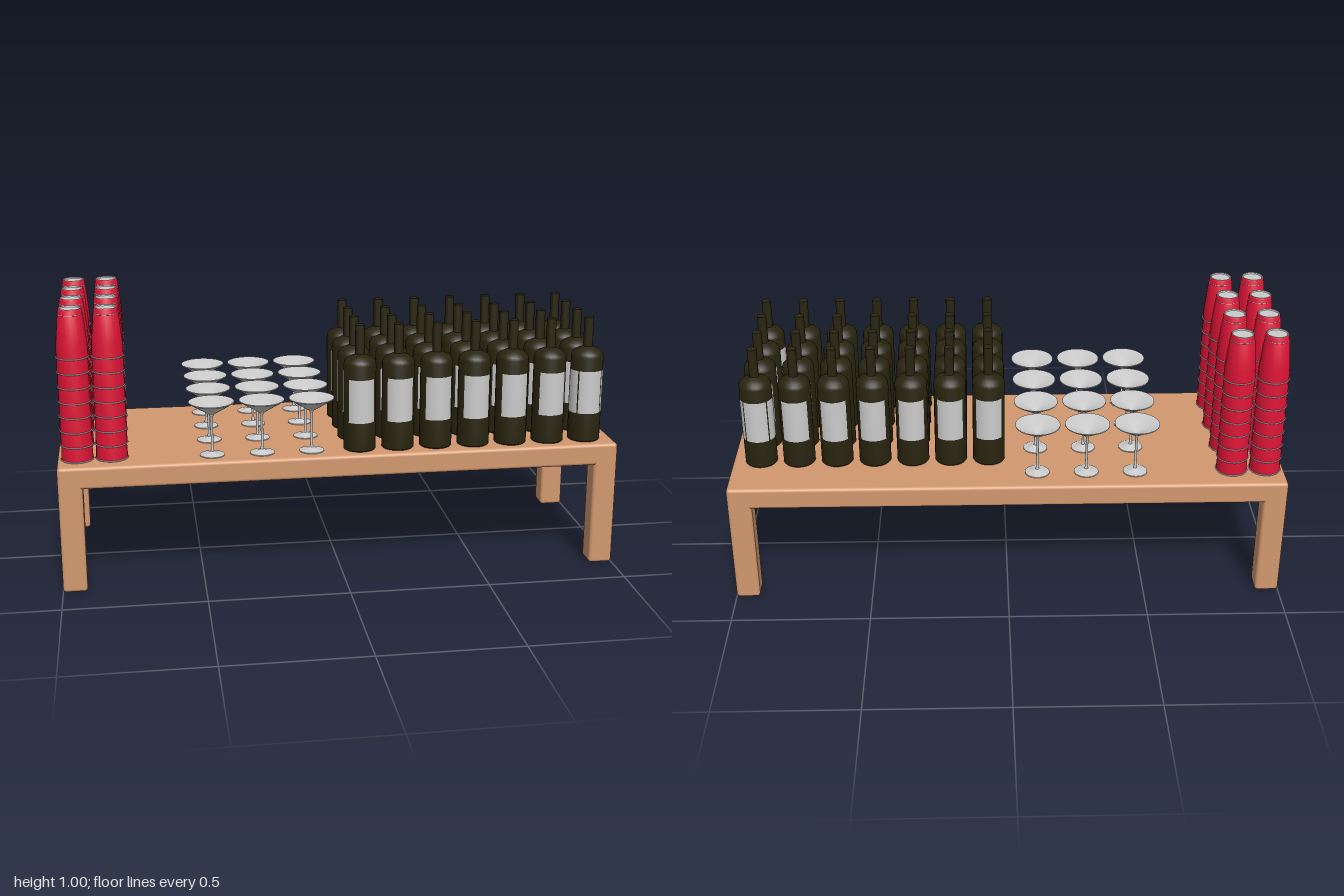
import * as THREE from 'three';
import { RoundedBoxGeometry } from 'three/addons/geometries/RoundedBoxGeometry.js';
import { toCreasedNormals } from 'three/addons/utils/BufferGeometryUtils.js';

const TOP = 0.46; // height of the table surface

const mat = (color, side = THREE.FrontSide) => new THREE.MeshStandardMaterial({ color, side });
const wood = mat(0xd2996f);
const red = mat(0xdc1435, THREE.DoubleSide);
const darkGlass = mat(0x28240f);
const grey = mat(0xcccccc, THREE.DoubleSide);

// Lathe from [radius, height] pairs, keeping the sharp edges sharp
function lathe(points, segments = 24) {
  const profile = points.map(([r, y]) => new THREE.Vector2(r, y));
  return toCreasedNormals(new THREE.LatheGeometry(profile, segments), 0.6);
}

function addMesh(parent, name, geometry, material, x = 0, y = 0, z = 0) {
  const mesh = new THREE.Mesh(geometry, material);
  mesh.name = name;
  mesh.position.set(x, y, z);
  parent.add(mesh);
  return mesh;
}

// Low table with four square legs
function makeTable() {
  const table = new THREE.Group();
  table.name = 'table';
  addMesh(table, 'tableTop', new RoundedBoxGeometry(2, 0.08, 0.716, 3, 0.012), wood, 0, TOP - 0.04, 0);
  const leg = new RoundedBoxGeometry(0.086, 0.44, 0.086, 3, 0.012);
  for (const sx of [-1, 1]) {
    for (const sz of [-1, 1]) addMesh(table, 'tableLeg', leg, wood, sx * 0.957, 0.22, sz * 0.315);
  }
  return table;
}

// Bottles, seven by four, with curved paper labels
function makeBottles() {
  const bottles = new THREE.Group();
  bottles.name = 'bottles';
  const glass = lathe([
    [0, 0], [0.055, 0], [0.058, 0.004], [0.058, 0.312], [0.055, 0.323],
    [0.046, 0.333], [0.03, 0.341], [0.017, 0.347], [0.017, 0.452], [0, 0.452],
  ]);
  const labelShape = (half) =>
    new THREE.CylinderGeometry(0.0588, 0.0588, 0.157, 12, 1, true, -half, 2 * half);
  const wideLabel = labelShape(0.87);
  const narrowLabel = labelShape(0.74);

  for (let col = 0; col < 7; col++) {
    for (let row = 0; row < 4; row++) {
      const bottle = new THREE.Group();
      bottle.name = 'bottle';
      bottle.position.set(0.066 + col * 0.1383, TOP, 0.27 - row * 0.139);
      addMesh(bottle, 'bottleGlass', glass, darkGlass);
      // the outer corner bottles are labelled on all sides
      const corner = col === 6 && (row === 0 || row === 3);
      const count = corner ? 4 : 2;
      for (let i = 0; i < count; i++) {
        const label = addMesh(bottle, 'bottleLabel', corner ? narrowLabel : wideLabel, grey, 0, 0.185, 0);
        label.rotation.y = (i * 2 * Math.PI) / count;
      }
      bottles.add(bottle);
    }
  }
  return bottles;
}

// Wide open stemmed glasses, three by four
function makeGlasses() {
  const glasses = new THREE.Group();
  glasses.name = 'stemmedGlasses';
  const shape = lathe([
    [0, 0], [0.044, 0], [0.044, 0.003], [0.02, 0.007], [0.006, 0.014], [0.0045, 0.03],
    [0.0045, 0.14], [0.009, 0.149], [0.08, 0.193], [0.08, 0.196], [0.077, 0.196], [0, 0.153],
  ], 32);
  for (let col = 0; col < 3; col++) {
    for (let row = 0; row < 4; row++) {
      addMesh(glasses, 'stemmedGlass', shape, grey, -0.46 + col * 0.1765, TOP, 0.275 - row * 0.1763);
    }
  }
  return glasses;
}

// Upturned cups in stacks of eight, two by four
function makeCups() {
  const cups = new THREE.Group();
  cups.name = 'cupStacks';
  const wall = lathe([[0.0555, 0.002], [0.0535, 0.05], [0.0435, 0.15], [0.0425, 0.152], [0.0415, 0.167], [0.039, 0.172]]);
  const rim = new THREE.TorusGeometry(0.0556, 0.0025, 6, 24).rotateX(Math.PI / 2).translate(0, 0.0025, 0);
  const band = new THREE.TorusGeometry(0.0425, 0.0012, 6, 24).rotateX(Math.PI / 2).translate(0, 0.152, 0);
  const base = lathe([[0.0395, 0.171], [0.038, 0.173], [0.036, 0.172], [0.034, 0.168], [0, 0.168]]);

  for (const x of [-0.93, -0.81]) {
    for (let row = 0; row < 4; row++) {
      const stack = new THREE.Group();
      stack.name = 'cupStack';
      stack.position.set(x, TOP, 0.253 - row * 0.1663);
      for (let i = 0; i < 8; i++) {
        const y = i * 0.0525;
        addMesh(stack, 'cupWall', wall, red, 0, y, 0);
        addMesh(stack, 'cupRim', rim, grey, 0, y, 0);
      }
      // only the topmost cup shows its band and base
      addMesh(stack, 'cupBand', band, grey, 0, 7 * 0.0525, 0);
      addMesh(stack, 'cupBase', base, grey, 0, 7 * 0.0525, 0);
      cups.add(stack);
    }
  }
  return cups;
}

export function createModel() {
  const model = new THREE.Group();
  model.name = 'drinksTable';
  model.add(makeTable(), makeBottles(), makeGlasses(), makeCups());
  return model;
}
